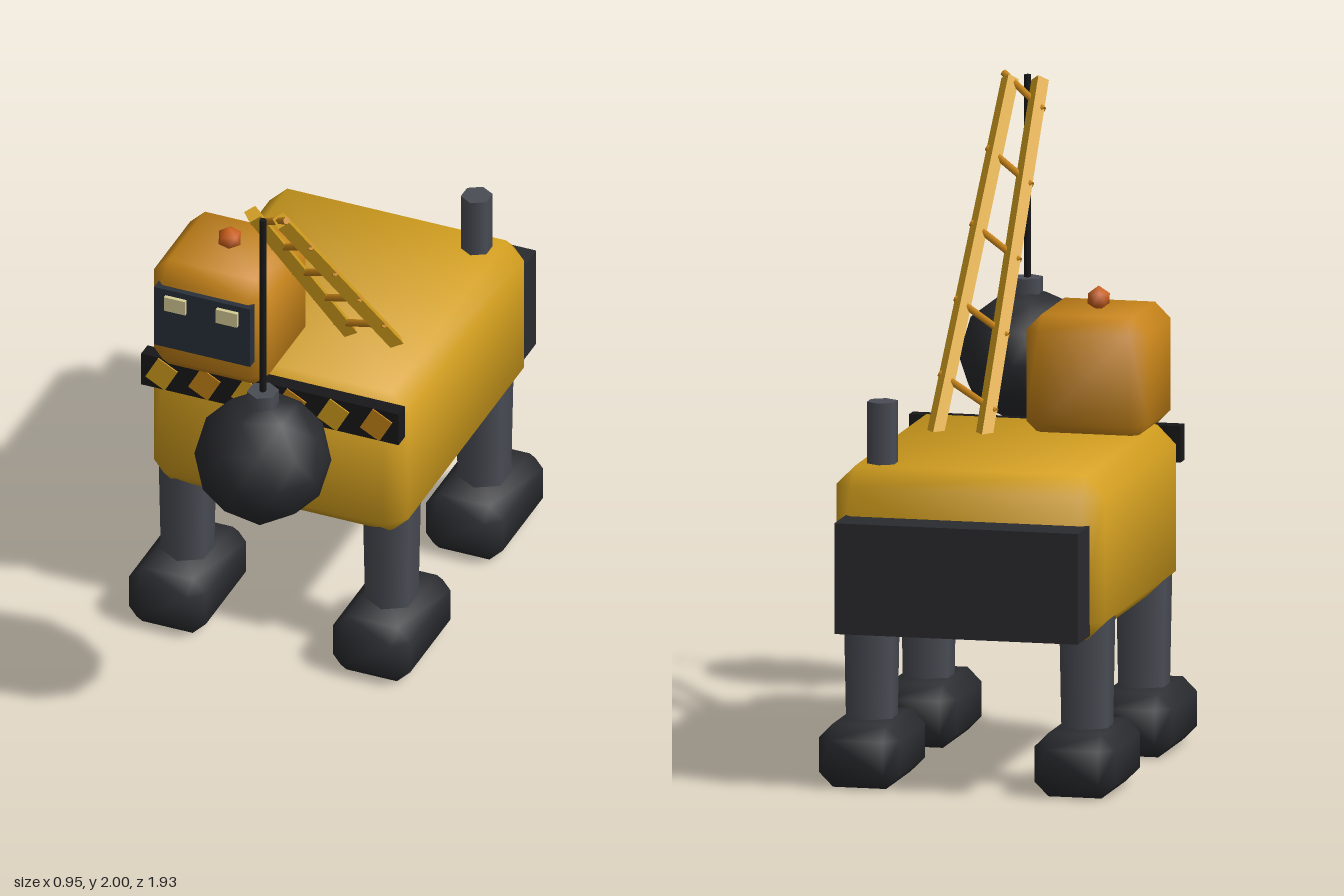
import * as THREE from 'three';
import { mergeVertices } from 'three/addons/utils/BufferGeometryUtils.js';
import { ConvexGeometry } from 'three/addons/geometries/ConvexGeometry.js';

const mat = (color, flatShading = false) => new THREE.MeshStandardMaterial({ color, flatShading });
const gold = mat(0xd6a11e), goldFlat = mat(0xd6a11e, true), orange = mat(0xc98518);
const steel = mat(0x4a4d55), dark = mat(0x2a2b2f), black = mat(0x18181a);
const glass = mat(0x29303a), lamp = mat(0xd8cf98), amber = mat(0xd0611c);

// Box with one 45 degree chamfer on every edge and soft normals
function chamferBox(w, h, d, c) {
  const half = [w / 2, h / 2, d / 2], points = [];
  for (const sx of [-1, 1]) for (const sy of [-1, 1]) for (const sz of [-1, 1]) {
    for (let full = 0; full < 3; full++) {
      const p = half.map((v, i) => (i === full ? v : v - c));
      points.push(new THREE.Vector3(p[0] * sx, p[1] * sy, p[2] * sz));
    }
  }
  const geo = new ConvexGeometry(points);
  const pos = geo.attributes.position, nor = geo.attributes.normal, n = new THREE.Vector3();
  for (let i = 0; i < pos.count; i++) {
    const p = [pos.getX(i), pos.getY(i), pos.getZ(i)];
    n.fromArray(p.map((v, a) => Math.sign(v) * (Math.abs(v) > half[a] - c / 2 ? 1 : 0.39))).normalize();
    nor.setXYZ(i, n.x, n.y, n.z);
  }
  return geo;
}

// Smooth icosphere with a vertex at the top
function icosphere(radius, detail) {
  let geo = new THREE.IcosahedronGeometry(radius, detail);
  geo.deleteAttribute('normal');
  geo.deleteAttribute('uv');
  geo = mergeVertices(geo, 1e-5);
  geo.computeVertexNormals();
  return geo.rotateZ(Math.atan(2 / (1 + Math.sqrt(5))));
}

export function createModel() {
  const model = new THREE.Group();
  model.name = 'walkingWreckingCrane';

  const add = (name, geo, material, x, y, z) => {
    const mesh = new THREE.Mesh(geo, material);
    mesh.name = name;
    mesh.position.set(x, y, z);
    model.add(mesh);
    return mesh;
  };
  const box = (w, h, d) => new THREE.BoxGeometry(w, h, d);
  // Bar running between two points
  const bar = (name, a, b, radius, sides, material) => {
    const dir = b.clone().sub(a), mid = a.clone().add(b).multiplyScalar(0.5);
    const mesh = add(name, new THREE.CylinderGeometry(radius, radius, dir.length(), sides), material, mid.x, mid.y, mid.z);
    mesh.quaternion.setFromUnitVectors(new THREE.Vector3(0, 1, 0), dir.normalize());
  };

  // Body, counterweight and exhaust
  add('body', chamferBox(0.86, 0.52, 1.04, 0.06), gold, 0, 0.75, -0.315);
  add('counterweight', box(0.78, 0.35, 0.16), dark, 0, 0.685, -0.885);
  add('exhaust', new THREE.CylinderGeometry(0.05, 0.05, 0.25, 6), steel, 0.3, 1.08, -0.705);

  // Four legs on blocky feet
  for (const [side, x] of [['left', 0.345], ['right', -0.345]]) {
    for (const [end, z] of [['Front', 0.077], ['Rear', -0.66]]) {
      add(side + end + 'Leg', new THREE.CylinderGeometry(0.092, 0.083, 0.45, 6), steel, x, 0.375, z);
      add(side + end + 'Foot', chamferBox(0.26, 0.2, 0.41, 0.045), dark, x, 0.1, z);
    }
  }

  // Cab with windscreen, lamps and beacon
  add('cab', chamferBox(0.39, 0.39, 0.39, 0.05), orange, -0.195, 1.185, 0.095);
  add('windscreen', box(0.325, 0.215, 0.04), glass, -0.197, 1.208, 0.29);
  for (const x of [-0.285, -0.11]) add('headlamp', box(0.072, 0.05, 0.03), lamp, x, 1.27, 0.308);
  add('beacon', icosphere(0.04, 0), amber, -0.195, 1.41, 0.095);

  // Hazard bar with slanted stripes
  add('hazardBar', box(0.87, 0.115, 0.05), black, 0, 0.942, 0.21);
  for (let i = 0; i < 6; i++) {
    const stripe = add('hazardStripe', box(0.075, 0.09, 0.02), i % 2 ? orange : gold, -0.365 + i * 0.145, 0.942, 0.229);
    stripe.rotation.z = -0.5;
  }

  // Boom: two converging rails; t runs from the deck (0) to the tip (1)
  const cx = 0.195;
  const rail = (side, t, extra = 0) => new THREE.Vector3(
    cx + side * (0.078 - 0.03 * t + extra), 1.01 + 0.965 * t, -0.12 + 0.84 * t);
  for (const side of [-1, 1]) bar('boomRail', rail(side, -0.06), rail(side, 1), 0.028, 4, goldFlat);
  // Slanted rungs
  for (let k = 0; k < 5; k++) {
    const t = 0.06 + k * 0.214;
    bar('boomRung', rail(-1, t, 0.025), rail(1, t + 0.1, 0.025), 0.012, 6, orange);
  }

  // Cable and wrecking ball
  bar('cable', new THREE.Vector3(cx, 1.3, 0.75), new THREE.Vector3(cx, 1.985, 0.75), 0.011, 6, black);
  add('ballCollar', new THREE.CylinderGeometry(0.05, 0.05, 0.08, 6), steel, cx, 1.305, 0.75);
  add('wreckingBall', icosphere(0.214, 1), dark, cx, 1.098, 0.75);

  return model;
}
